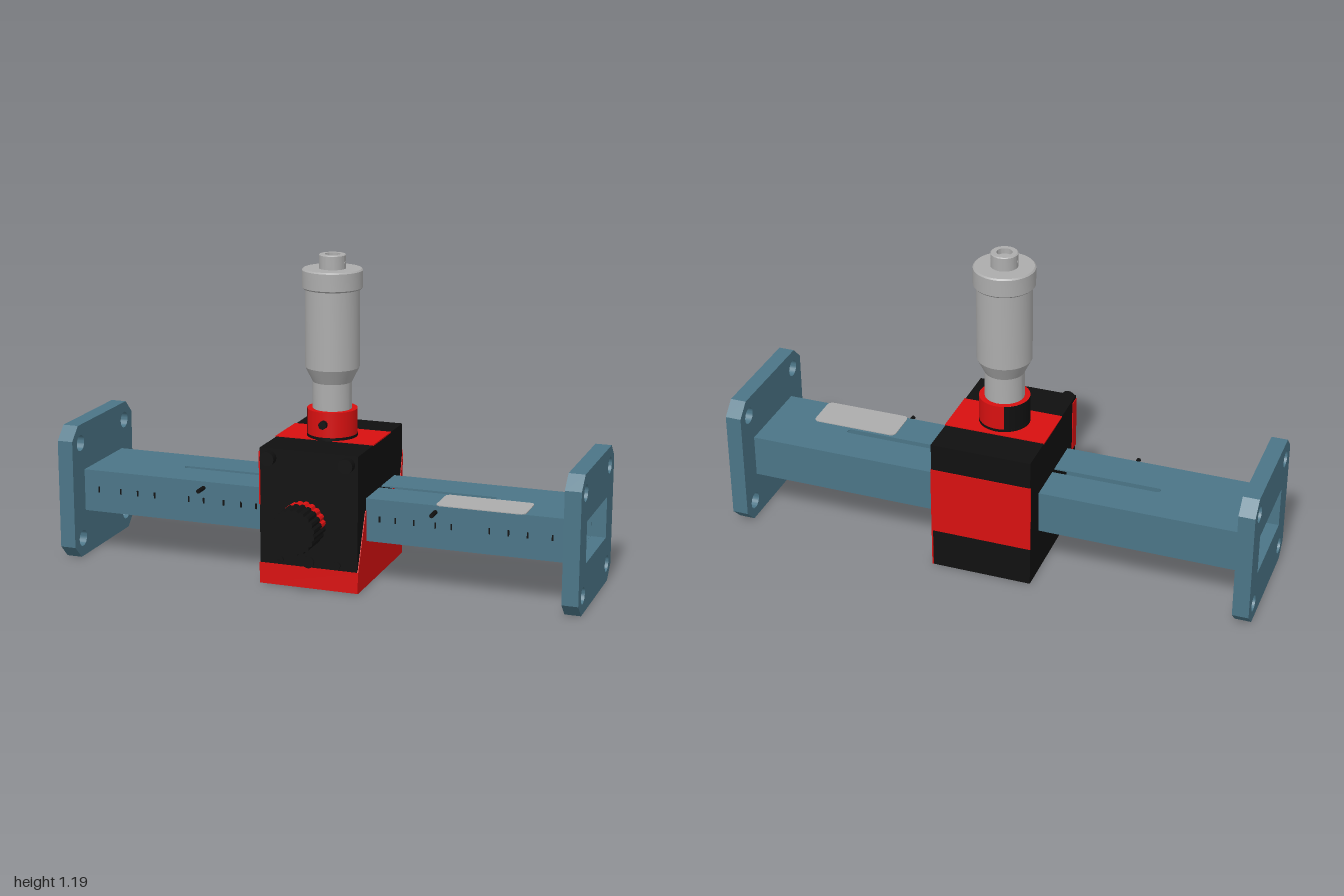
import * as THREE from 'three';
import { toCreasedNormals } from 'three/addons/utils/BufferGeometryUtils.js';

export function createModel() {
  const root = new THREE.Group();
  const mat = (name, color) => {
    const m = new THREE.MeshStandardMaterial({ color });
    m.name = name;
    return m;
  };
  const blue = mat('blueMetal', 0x4b7587);
  const red = mat('red', 0xd81010);
  const black = mat('black', 0x101010);
  const grey = mat('grey', 0xacacac);
  const CZ = -0.083, CY = 0.2575; // axis of the guide

  const add = (name, geo, m, x = 0, y = 0, z = 0) => {
    const mesh = new THREE.Mesh(geo, m);
    mesh.name = name;
    mesh.position.set(x, y, z);
    root.add(mesh);
    return mesh;
  };
  // Box given by its limits
  const box = (name, m, x0, x1, y0, y1, z0, z1) =>
    add(name, new THREE.BoxGeometry(x1 - x0, y1 - y0, z1 - z0), m,
      (x0 + x1) / 2, (y0 + y1) / 2, (z0 + z1) / 2);
  const polygon = (pts) => new THREE.Shape(pts.map((p) => new THREE.Vector2(p[0], p[1])));
  const extrude = (shape, depth) =>
    new THREE.ExtrudeGeometry(shape, { depth, bevelEnabled: false, curveSegments: 16 });
  const rodZ = (name, m, r, x, y, z0, z1) =>
    add(name, new THREE.CylinderGeometry(r, r, z1 - z0, 24).rotateX(Math.PI / 2), m, x, y, (z0 + z1) / 2);

  // End flanges: chamfered plates with four bolt holes and a window
  const h = 0.2575, c = 0.05;
  const plate = polygon([[-h + c, -h], [h - c, -h], [h, -h + c], [h, h - c],
    [h - c, h], [-h + c, h], [-h, h - c], [-h, -h + c]]);
  for (const u of [-0.19, 0.19]) for (const v of [-0.187, 0.187]) {
    plate.holes.push(new THREE.Path().absarc(u, v, 0.031, 0, Math.PI * 2, true));
  }
  const win = new THREE.Path();
  win.moveTo(-0.16, -0.079).lineTo(-0.16, 0.076).lineTo(0.16, 0.076).lineTo(0.16, -0.079).closePath();
  plate.holes.push(win);
  const flangeGeo = toCreasedNormals(extrude(plate, 0.06).rotateY(Math.PI / 2), 0.6);
  add('flangeLeft', flangeGeo, blue, 0.94, CY, CZ);
  add('flangeRight', flangeGeo, blue, -1, CY, CZ);

  // Hollow rectangular guide with a long slot in its top wall
  const L = 0.945, W = 0.163, t = 0.005;
  const top = polygon([[-L, -W], [L, -W], [L, W], [-L, W]]);
  const slot = new THREE.Path();
  slot.absarc(0.617, 0, 0.0125, -Math.PI / 2, Math.PI / 2, false);
  slot.absarc(-0.583, 0, 0.0125, Math.PI / 2, Math.PI * 1.5, false);
  slot.closePath();
  top.holes.push(slot);
  add('guideTop', extrude(top, t).rotateX(-Math.PI / 2), blue, 0, 0.33, CZ);
  box('guideBottom', blue, -L, L, 0.174, 0.179, CZ - W, CZ + W);
  box('guideFront', blue, -L, L, 0.179, 0.33, CZ + W - t, CZ + W);
  box('guideBack', blue, -L, L, 0.179, 0.33, CZ - W, CZ - W + t);

  // Scale ticks and side pins on the front of the guide
  for (const x of [0.24, 0.3, 0.37, 0.45, 0.51, 0.65, 0.72, 0.79, 0.88]) for (const s of [-1, 1]) {
    box('scaleTick', black, s * x - 0.003, s * x + 0.003, 0.25, 0.272, CZ + W, CZ + W + 0.002);
  }
  for (const s of [-1, 1]) rodZ('sidePin', black, 0.008, s * 0.45, 0.31, 0.07, 0.13);

  // Label plate with rounded corners
  const label = new THREE.Shape();
  const lr = 0.02;
  label.absarc(0.76, 0.045, lr, 0, Math.PI / 2);
  label.absarc(0.47, 0.045, lr, Math.PI / 2, Math.PI);
  label.absarc(0.47, -0.06, lr, Math.PI, Math.PI * 1.5);
  label.absarc(0.76, -0.06, lr, Math.PI * 1.5, Math.PI * 2);
  add('label', extrude(label, 0.003).rotateX(-Math.PI / 2), grey, 0, 0.335, 0.005);

  // Central block with red panels
  box('block', black, -0.188, 0.188, 0, 0.513, -0.338, 0.17);
  box('blockTopPanel', red, -0.19, 0.19, 0.511, 0.516, -0.195, 0.005);
  box('blockBackPanel', red, -0.19, 0.19, 0.15, 0.41, -0.341, -0.336);
  box('blockFrontPanel', red, -0.19, 0.19, 0.001, 0.08, 0.168, 0.173);
  box('blockRightStrip', red, -0.191, -0.186, 0.3, 0.5, 0.13, 0.172);
  const side = polygon([[-0.172, 0.001], [0.34, 0.001], [0.34, 0.4], [0.31, 0.29],
    [-0.09, 0.29], [-0.172, 0.08]]);
  add('blockLeftPanel', extrude(side, 0.005).rotateY(Math.PI / 2), red, 0.186);

  // Cap screws on the block front
  for (const s of [-1, 1]) {
    rodZ('capScrew', black, 0.027, s * 0.15, 0.48, 0.16, 0.2);
    rodZ('smallScrew', black, 0.013, s * 0.11, 0.1, 0.16, 0.176);
  }
  rodZ('centreScrew', black, 0.022, 0, 0.1, 0.16, 0.176);

  // Clamp knob: shaft and fluted head, red on the upper rear half
  rodZ('knobShaft', red, 0.055, 0, 0.26, 0.16, 0.225);
  const fluted = (from, to) => {
    const pts = [];
    for (let i = from; i <= to; i++) {
      const a = (i / 60) * Math.PI * 2, r = i % 3 === 0 ? 0.079 : 0.085;
      pts.push([r * Math.cos(a), r * Math.sin(a)]);
    }
    return polygon(pts);
  };
  add('knobHead', extrude(fluted(0, 59), 0.08), black, 0, 0.26, 0.26);
  add('knobRearUpper', extrude(fluted(0, 30), 0.04), red, 0, 0.26, 0.22);
  add('knobRearLower', extrude(fluted(30, 60), 0.04), black, 0, 0.26, 0.22);

  // Micrometer collar, base ring and set screw
  const collar = (name, m, from, len) => add(name,
    new THREE.CylinderGeometry(0.093, 0.093, 0.095, 32, 1, true, from * Math.PI, len * Math.PI), m, 0, 0.5725, CZ);
  collar('collarRed', red, -0.35, 1.45);
  collar('collarBlack', black, 1.1, 0.55);
  add('collarTop', new THREE.CircleGeometry(0.093, 48).rotateX(-Math.PI / 2), red, 0, 0.62, CZ);
  add('collarBase', new THREE.CylinderGeometry(0.094, 0.094, 0.012, 48), black, 0, 0.52, CZ);
  rodZ('collarScrew', black, 0.015, 0, 0.576, 0, 0.028);

  // Micrometer barrel with recessed top boss
  const profile = [[0.0725, 0.6], [0.0725, 0.72], [0.1, 0.775], [0.1, 1.065], [0.107, 1.065],
    [0.111, 1.07], [0.111, 1.133], [0.106, 1.138], [0.049, 1.138], [0.049, 1.187], [0.046, 1.19],
    [0.028, 1.19], [0.028, 1.17], [0, 1.17]].map((p) => new THREE.Vector2(p[0], p[1]));
  add('micrometer', toCreasedNormals(new THREE.LatheGeometry(profile, 48), 0.4), grey, 0, 0, CZ);
  const pin = add('bossPin', new THREE.CylinderGeometry(0.007, 0.007, 0.1, 12), grey, 0, 1.16, CZ);
  pin.rotation.z = Math.PI / 2;

  return root;
}
